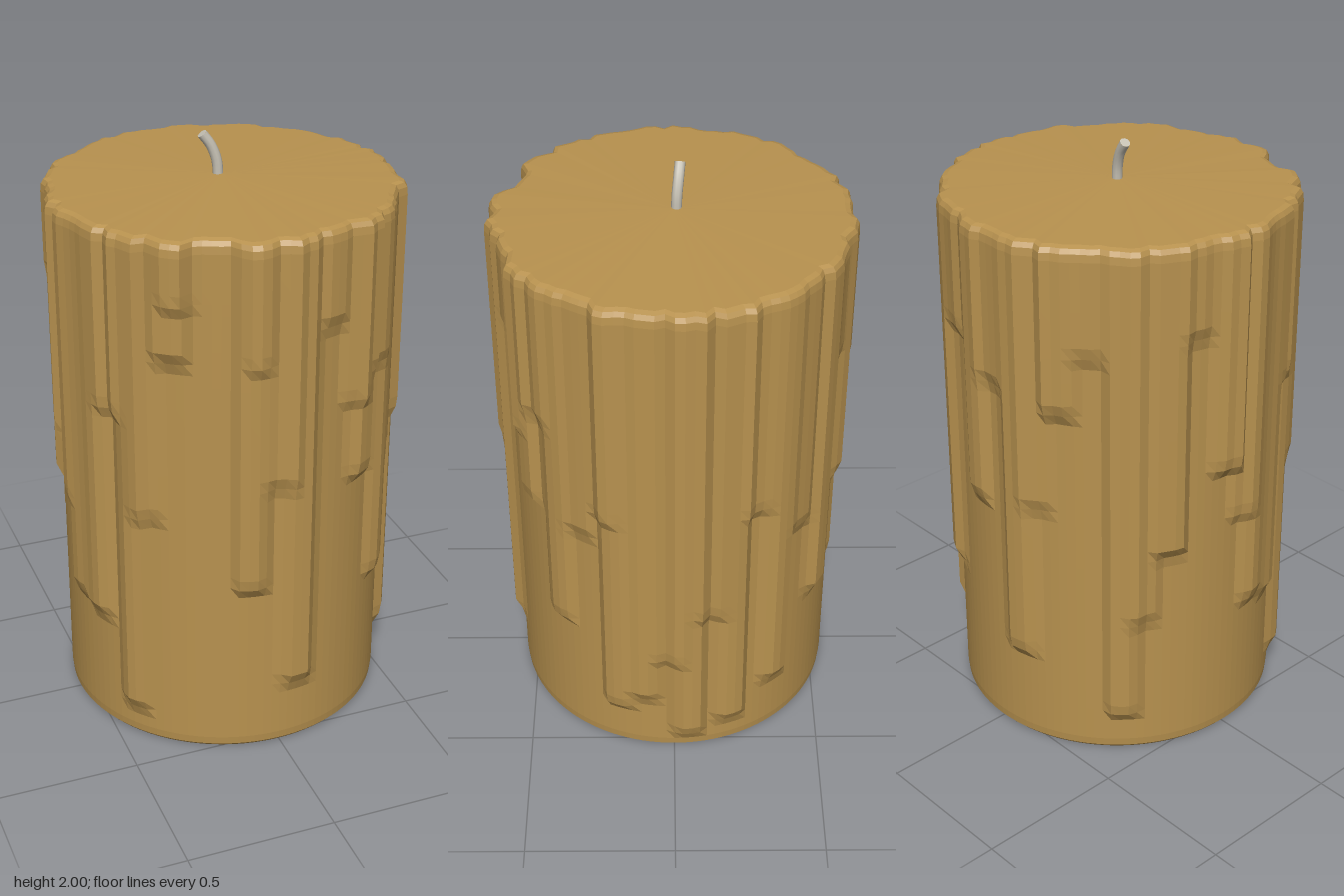
import * as THREE from 'three';

const COLS = 120;
const clamp = (v) => Math.min(1, Math.max(0, v));

// Drips as [angle in degrees from the front, height of the lower end]
const longDrips = [
  [-68, 0.42], [-52, 0.1], [-37, 1.42], [-11, 0.6], [6, 0.22], [33, 0.92], [47, 0.48],
  [70, 0.16], [79, 0.22], [95, 0.05], [110, 0.1], [128, 0.22], [150, 0.5], [173, 0.85],
  [192, 0.32], [208, 1.25], [229, 0.12], [245, 0.75], [266, 1.0], [281, 0.45],
];
const shortDrips = [
  [-46, 0.85], [-35, 1.6], [-8, 1.4], [-1, 0.98], [18, 1.5], [28, 1.2], [40, 1.3], [57, 0.9],
  [66, 1.0], [88, 0.4], [102, 0.6], [118, 1.0], [138, 0.85], [160, 1.4], [182, 1.3],
  [200, 0.9], [218, 1.45], [236, 0.5], [254, 1.5], [274, 0.8], [300, 1.2],
];

// Height of one layer of wax: flat-faced drips with steep sides and a slanted lower end
function layer(drips, deg, y, halfWidth) {
  let h = 0;
  for (const [a, end] of drips) {
    const d = Math.abs(((deg - a + 540) % 360) - 180);
    h = Math.max(h, clamp((halfWidth - d) / 3.5) * clamp((y - end) / 0.05));
  }
  return h;
}

function waxRadius(deg, y) {
  const relief = 0.033 * layer(longDrips, deg, y, 7) + 0.022 * layer(shortDrips, deg, y, 6.5);
  return 0.545 + Math.min(0.05, relief);
}

function waxGeometry() {
  // Rows as [height, radius scale], from the bottom centre to the top centre
  const rows = [[0, 0], [0, 0.975], [0.012, 0.995]];
  for (let y = 0.04; y < 1.81; y += 0.04) rows.push([y, 1]);
  rows.push([1.825, 0.995], [1.84, 0.98], [1.846, 0.95], [1.86, 0]);

  const pos = [], index = [];
  for (const [y, s] of rows) {
    for (let i = 0; i < COLS; i++) {
      const deg = (i * 360) / COLS, a = THREE.MathUtils.degToRad(deg);
      const r = waxRadius(deg, y) * s;
      pos.push(Math.sin(a) * r - 0.005, y, Math.cos(a) * r);
    }
  }
  for (let j = 0; j < rows.length - 1; j++) {
    for (let i = 0; i < COLS; i++) {
      const n = (i + 1) % COLS, p = j * COLS, q = p + COLS;
      if (rows[j][1] > 0) index.push(p + i, p + n, q + i);
      if (rows[j + 1][1] > 0) index.push(p + n, q + n, q + i);
    }
  }
  const geo = new THREE.BufferGeometry();
  geo.setAttribute('position', new THREE.Float32BufferAttribute(pos, 3));
  geo.setIndex(index);
  const flat = geo.toNonIndexed();
  flat.computeVertexNormals();
  return flat;
}

export function createModel() {
  const wax = new THREE.MeshStandardMaterial({ color: 0xb8924f, flatShading: true });
  wax.name = 'wax';
  const cotton = new THREE.MeshStandardMaterial({ color: 0xc6c1b4 });
  cotton.name = 'cotton';

  const group = new THREE.Group();
  group.name = 'candle';

  const body = new THREE.Mesh(waxGeometry(), wax);
  body.name = 'waxBody';
  group.add(body);

  // Curved wick with a closed tip
  const path = new THREE.CatmullRomCurve3([
    new THREE.Vector3(-0.014, 1.84, -0.008),
    new THREE.Vector3(-0.018, 1.9, -0.01),
    new THREE.Vector3(-0.035, 1.95, -0.015),
    new THREE.Vector3(-0.064, 1.992, -0.02),
  ]);
  const wick = new THREE.Mesh(new THREE.TubeGeometry(path, 10, 0.017, 10), cotton);
  wick.name = 'wick';
  const tip = new THREE.Mesh(new THREE.CircleGeometry(0.017, 10), cotton);
  tip.name = 'wickTip';
  tip.position.copy(path.getPoint(1));
  tip.quaternion.setFromUnitVectors(new THREE.Vector3(0, 0, 1), path.getTangent(1));
  group.add(wick, tip);

  return group;
}
